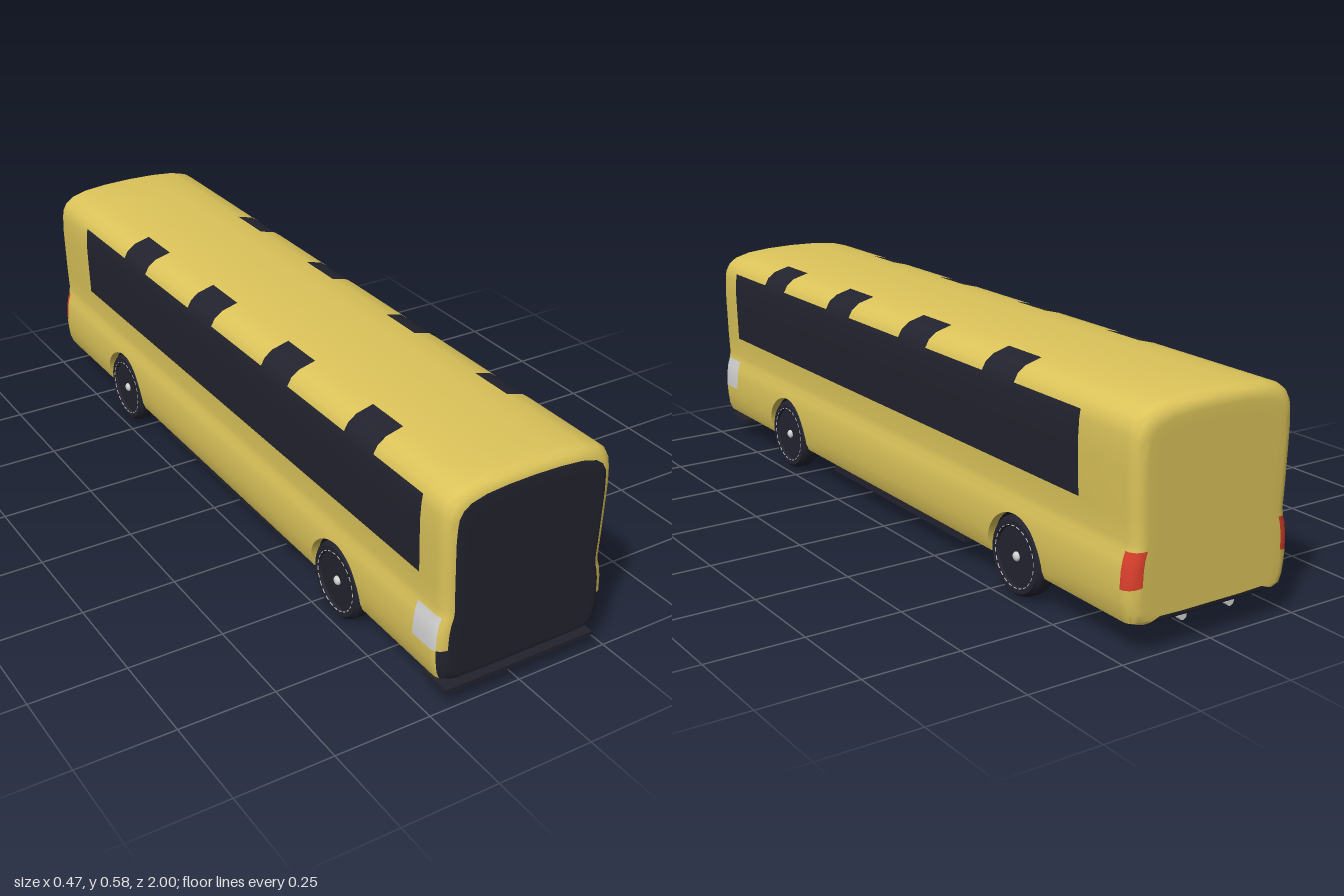
import * as THREE from 'three';
import { toCreasedNormals } from 'three/addons/utils/BufferGeometryUtils.js';

const mat = (name, color) => {
  const m = new THREE.MeshStandardMaterial({ color });
  m.name = name;
  return m;
};

// Half cross-section of the coach: floor centre, round the side, to roof centre.
const P = [[0, .07], [.12, .07], [.2, .072], [.222, .08], [.23, .1], [.234, .13], [.236, .16],
  [.234, .2], [.23, .225], [.223, .245], [.221, .265], [.224, .32], [.227, .42], [.228, .46],
  [.226, .5], [.223, .52], [.212, .54], [.19, .556], [.145, .568], [.08, .574], [0, .576]];
const N = P.length - 1;
const AXLES = [0.575, -0.57], ARCH = 0.108, AXLE_Y = 0.1, ROUND = 0.035;
const HATCHES = [[.59, .71], [.215, .34], [-.17, -.04], [-.55, -.42]];

// Side x at a given height.
function sideX(y) {
  let k = 3;
  while (P[k + 1][1] < y) k++;
  const [x0, y0] = P[k], [x1, y1] = P[k + 1];
  return x0 + (x1 - x0) * (y - y0) / (y1 - y0);
}

// Closed cross-section, drawn in at the ends and lifted over the wheel arches.
function section(inset, arch) {
  const half = P.map(([x, y], j) => {
    if (y < arch) {
      const sx = sideX(arch);
      x = j < 3 ? x * sx / .222 : sx;
      y = arch;
    }
    const k = y < .32 ? .3 : 1;
    return [x * (1 - inset / .236), .32 + (y - .32) * (1 - k * inset / .25)];
  });
  return half.concat(half.slice(1, N).reverse().map(([x, y]) => [-x, y]));
}

function stations() {
  const list = [];
  for (const e of [1, -1]) {
    list.push({ z: e, inset: .06, arch: 0, o: -e * 2 });
    for (let t = 90; t >= 0; t -= 15) {
      const a = t * Math.PI / 180;
      list.push({ z: e * (1 - ROUND * (1 - Math.sin(a))), inset: ROUND * (1 - Math.cos(a)), arch: 0, o: 0 });
    }
  }
  for (const c of AXLES) {
    for (let i = 0; i <= 24; i++) {
      const a = Math.PI * i / 24;
      list.push({ z: c + ARCH * Math.cos(a), inset: 0, arch: AXLE_Y + ARCH * Math.sin(a), o: 0 });
    }
    for (const s of [1, -1]) list.push({ z: c + s * ARCH, inset: 0, arch: 0, o: -s });
  }
  const cuts = [.9, -.8, 0, ...HATCHES.flat()];
  for (const z of cuts) {
    const c = AXLES.find(a => Math.abs(a - z) < ARCH);
    const arch = c === undefined ? 0 : AXLE_Y + Math.sqrt(ARCH ** 2 - (z - c) ** 2);
    list.push({ z, inset: 0, arch, o: 0 });
  }
  return list.sort((a, b) => Math.abs(b.z - a.z) > 1e-7 ? b.z - a.z : a.o - b.o);
}

// Material index of a body panel: 0 yellow, 1 dark, 2 light, 3 red.
function panel(h, z) {
  if (z > .998 || h < 2) return 1;
  if (z > .982 && h < 6) return 1;
  if (h >= 6 && h <= 8) {
    if (z > .9 && z < .982) return 2;
    if (z < -.965 && z > -.9999) return 3;
  }
  if (h >= 11 && h <= 14 && z < .9 && z > -.8) return 1;
  if (h >= 15 && h <= 17 && HATCHES.some(([a, b]) => z > a && z < b)) return 1;
  return 0;
}

function bodyGeometry() {
  const st = stations(), M = 2 * N, pos = [], lists = [[], [], [], []];
  for (const s of st) for (const [x, y] of section(s.inset, s.arch)) pos.push(x, y, s.z);
  const v = i => new THREE.Vector3().fromArray(pos, i * 3);
  for (let s = 0; s < st.length - 1; s++) {
    for (let j = 0; j < M; j++) {
      const a = s * M + j, b = s * M + (j + 1) % M, d = a + M, c = b + M;
      const out = lists[panel(j < N ? j : M - 1 - j, (st[s].z + st[s + 1].z) / 2)];
      for (const t of [[a, d, c], [a, c, b]]) {
        const area = new THREE.Triangle(v(t[0]), v(t[1]), v(t[2])).getArea();
        if (area > 1e-9) out.push(...t);
      }
    }
  }
  const g = new THREE.BufferGeometry();
  g.setAttribute('position', new THREE.Float32BufferAttribute(pos, 3));
  g.setIndex(lists.flat());
  let start = 0;
  lists.forEach((l, i) => { g.addGroup(start, l.length, i); start += l.length; });
  return toCreasedNormals(g, 0.75);
}

export function createModel() {
  const root = new THREE.Group();
  root.name = 'coach';
  const yellow = mat('yellow paint', 0xdcc45a), dark = mat('dark glass and rubber', 0x22232e);
  const light = mat('light grey', 0xd2d2d2), red = mat('red lamp', 0xdc402c);
  const add = (name, geo, m, x = 0, y = 0, z = 0, parent = root) => {
    const mesh = new THREE.Mesh(geo, m);
    mesh.name = name;
    mesh.position.set(x, y, z);
    parent.add(mesh);
    return mesh;
  };

  // Shell with windows, hatches, lamps and floor
  add('body', bodyGeometry(), [yellow, dark, light, red]);

  // Flat end panels
  const cap = new THREE.ShapeGeometry(new THREE.Shape(section(.06, 0).map(p => new THREE.Vector2(...p))));
  add('windscreen', cap, dark, 0, 0, 1);
  add('rearPanel', cap, yellow, 0, 0, -1).rotation.y = Math.PI;

  // Front lip, side sills and exhaust tips
  add('frontLip', new THREE.BoxGeometry(.42, .012, .09), dark, 0, .049, .955);
  for (const s of [1, -1]) {
    add('sideSill', new THREE.BoxGeometry(.025, .024, .66), dark, s * .2, .066, 0);
    const pipe = new THREE.CylinderGeometry(.011, .011, .06, 16).rotateX(Math.PI / 2);
    add('exhaust', pipe, light, s * .07, .066, -.955);
  }

  // Wheels: bevelled tyre turned about the axle, dashed rim ring and hub
  const tyre = toCreasedNormals(new THREE.LatheGeometry([[0, -.026], [.074, -.026], [.078, -.028], [.09, -.028],
    [.097, -.021], [.1, -.008], [.1, .008], [.097, .021], [.09, .028], [.078, .028], [.074, .02], [0, .02]]
    .map(p => new THREE.Vector2(...p)), 40), 0.6).rotateZ(-Math.PI / 2);
  const dash = new THREE.TorusGeometry(.077, .0012, 5, 3, Math.PI / 20).rotateY(Math.PI / 2);
  const hub = new THREE.SphereGeometry(.012, 16, 10).scale(.7, 1, 1);
  for (const z of AXLES) for (const s of [1, -1]) {
    const wheel = new THREE.Group();
    wheel.name = 'wheel';
    wheel.position.set(s * .203, AXLE_Y, z);
    if (s < 0) wheel.rotation.y = Math.PI;
    add('tyre', tyre, dark, 0, 0, 0, wheel);
    add('hub', hub, light, .021, 0, 0, wheel);
    for (let i = 0; i < 24; i++) add('rimDash', dash, light, .028, 0, 0, wheel).rotation.x = i * Math.PI / 12;
    root.add(wheel);
  }
  return root;
}
